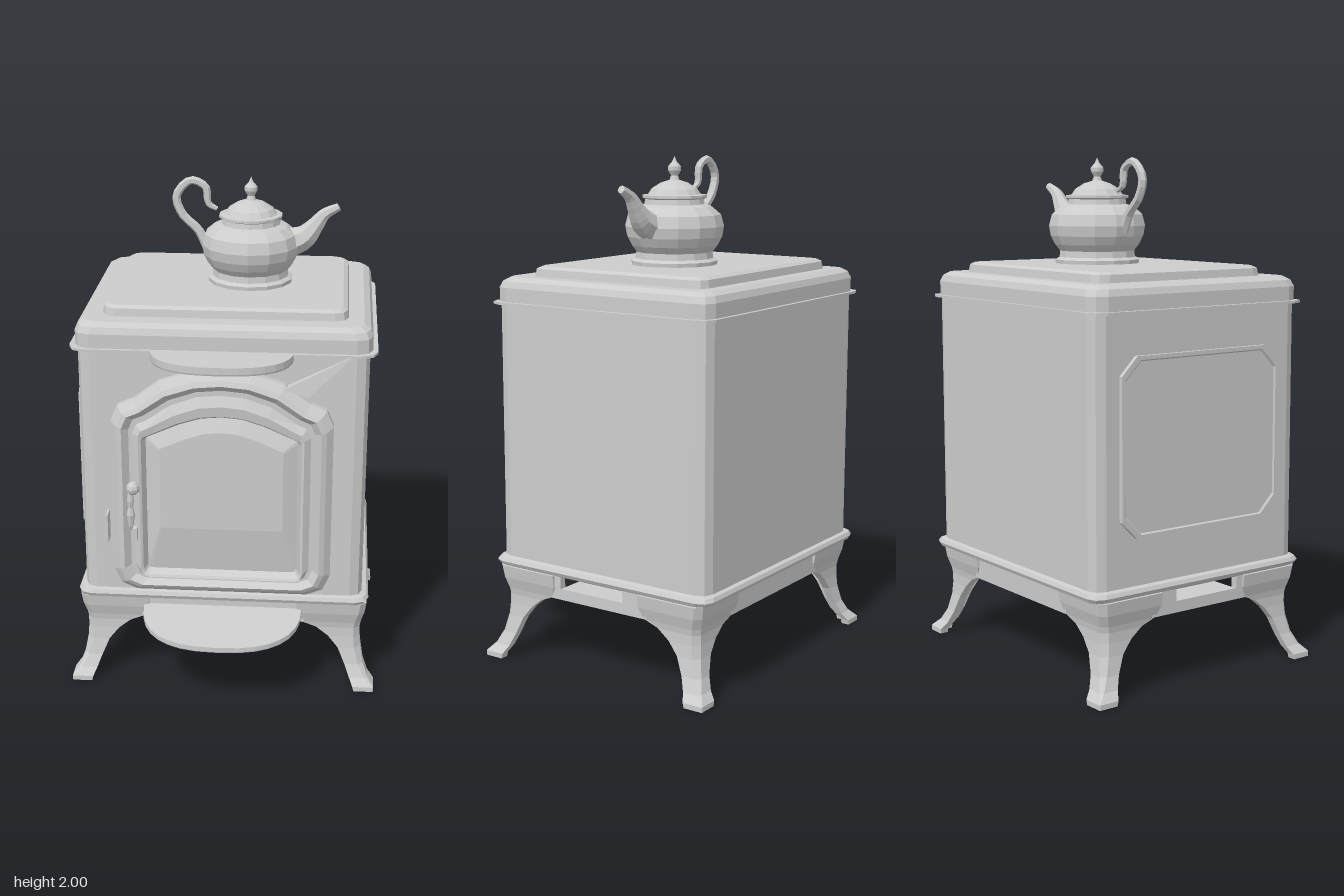
import * as THREE from 'three';

const iron = new THREE.MeshStandardMaterial({ color: 0xcccccc, flatShading: true, side: THREE.DoubleSide });
iron.name = 'grey iron';
const CZ = -0.12; // stove body centre in z

// Skin rings of [x, y, z]; rings run counter-clockwise seen from the end of the loft
function loft(rings, capStart = true, capEnd = true, flip = false) {
  const n = rings[0].length, idx = [];
  const tri = (a, b, c) => (flip ? idx.push(a, c, b) : idx.push(a, b, c));
  for (let i = 0; i < rings.length - 1; i++) {
    for (let j = 0; j < n; j++) {
      const a = i * n + j, b = i * n + (j + 1) % n;
      tri(a, b, b + n);
      tri(a, b + n, a + n);
    }
  }
  const e = (rings.length - 1) * n;
  for (let j = 0; j < n - 2; j++) {
    if (capStart) tri(n - 1, j + 1, j);
    if (capEnd) tri(e + n - 1, e + j, e + j + 1);
  }
  const g = new THREE.BufferGeometry();
  g.setAttribute('position', new THREE.Float32BufferAttribute(rings.flat(2), 3));
  g.setIndex(idx);
  g.computeVertexNormals();
  return g;
}

// Rectangle with cut corners, as 2D points
function cutRect(hx, hy, c, steps = 2) {
  const pts = [];
  for (let k = 0; k < 4; k++) {
    const sx = k === 0 || k === 3 ? 1 : -1, sy = k < 2 ? 1 : -1;
    for (let s = 0; s <= steps; s++) {
      const a = (k + s / steps) * Math.PI / 2;
      pts.push([sx * (hx - c) + c * Math.cos(a), sy * (hy - c) + c * Math.sin(a)]);
    }
  }
  return pts;
}
const flatRing = (y, hx, hz, c, cz = CZ) => cutRect(hx, hz, c).map(([x, v]) => [x, y, cz - v]);

// Tapered round sweep along a path in the xy plane
function sweep(points, radii, z, sides = 7, samples = 14) {
  const curve = new THREE.CatmullRomCurve3(points.map(([x, y]) => new THREE.Vector3(x, y, z)));
  const rings = [];
  for (let i = 0; i <= samples; i++) {
    const t = i / samples, p = curve.getPoint(t), d = curve.getTangent(t);
    const f = t * (radii.length - 1), k = Math.min(Math.floor(f), radii.length - 2);
    const r = THREE.MathUtils.lerp(radii[k], radii[k + 1], f - k);
    rings.push(Array.from({ length: sides }, (_, j) => {
      const a = j / sides * Math.PI * 2, c = r * Math.cos(a);
      return [p.x - d.y * c, p.y + d.x * c, z + r * Math.sin(a)];
    }));
  }
  return loft(rings);
}

// Arched door outline with small shoulders; last point is the bottom centre
function doorRing(z, w, y0, ys, top, c) {
  const half = [[w - c, y0], [w - c * 0.3, y0 + c * 0.3], [w, y0 + c], [w, ys - c], [w - c * 0.3, ys - c * 0.3],
    [w - c, ys], [w * 0.56, ys + (top - ys) * 0.6], [w * 0.27, ys + (top - ys) * 0.92]];
  const left = half.map(([x, y]) => [-x, y]).reverse();
  return [...half, [0, top], ...left, [0, y0]].map(([x, y]) => [x, y, z]);
}

// Half-oval plate projecting to the front, sloping down by `drop` per unit z
function halfOval(w, z0, z1, y, thick, drop) {
  const ring = (yy, s) => Array.from({ length: 17 }, (_, i) => {
    const a = Math.PI * (1 - i / 16), c = Math.cos(a);
    const x = Math.sign(c) * Math.pow(Math.abs(c), 0.8) * w * s;
    const z = z0 + Math.pow(Math.sin(a), 0.8) * (z1 - z0) * s;
    return [x, yy - (z - z0) * drop, z];
  });
  return loft([ring(y, 0.99), ring(y + thick * 0.2, 1), ring(y + thick, 1)]);
}

export function createModel() {
  const model = new THREE.Group();
  const add = (name, geometry, x = 0, y = 0, z = 0, parent = model) => {
    const m = new THREE.Mesh(geometry, iron);
    m.name = name;
    m.position.set(x, y, z);
    parent.add(m);
    return m;
  };
  const box = (name, w, h, d, x, y, z) => add(name, new THREE.BoxGeometry(w, h, d), x, y, z);

  // Firebox walls, base flange and stepped top
  add('firebox', loft([flatRing(0.4, 0.56, 0.49, 0.05), flatRing(1.44, 0.56, 0.49, 0.05)], false, false));
  add('baseFlange', loft([[0.375, 0.56, 0.485], [0.385, 0.58, 0.505], [0.4, 0.588, 0.512], [0.415, 0.58, 0.505],
    [0.42, 0.56, 0.49]].map(([y, x, z]) => flatRing(y, x, z, 0.05)), false, false));
  add('stoveTop', loft([[1.435, 0.56, 0.49, 0.05], [1.435, 0.59, 0.51, 0.06], [1.445, 0.59, 0.51, 0.06],
    [1.445, 0.57, 0.495, 0.06], [1.5, 0.57, 0.495, 0.06], [1.525, 0.56, 0.485, 0.06], [1.54, 0.535, 0.46, 0.05]]
    .map(r => flatRing(...r)), false, true));
  add('raisedTop', loft([[1.535, 0.475, 0.4, 0.05], [1.57, 0.47, 0.395, 0.05], [1.58, 0.452, 0.378, 0.045]]
    .map(r => flatRing(...r, -0.131)), false, true));

  // Raised panel on the right wall
  const panel = add('sidePanel', loft([[0, 0.38, 0.34], [0.018, 0.38, 0.34], [0.018, 0.365, 0.325], [0.012, 0.36, 0.32]]
    .map(([z, w, h]) => cutRect(w, h, 0.07, 1).map(([x, y]) => [x, y, z])), false), -0.558, 0.94, CZ);
  panel.rotation.y = -Math.PI / 2;

  // Cabriole legs: L-shaped sections, [height, outer, inner, corner cut]
  const legRows = [[0, 0.62, 0.54, 0.004], [0.02, 0.62, 0.535, 0.004], [0.05, 0.595, 0.52, 0.012],
    [0.1, 0.575, 0.5, 0.02], [0.17, 0.562, 0.47, 0.025], [0.22, 0.558, 0.43, 0.025], [0.26, 0.558, 0.38, 0.025],
    [0.285, 0.562, 0.32, 0.025], [0.33, 0.575, 0.3, 0.025], [0.38, 0.582, 0.3, 0.025]];
  for (const sx of [-1, 1]) {
    for (const sz of [-1, 1]) {
      const rings = legRows.map(([y, o, i, c]) => {
        const t = 0.035;
        return [[i, o - t], [i, o], [o - c, o], [o, o - c], [o, i], [o - t, i], [o - t, o - t]]
          .map(([u, v]) => [sx * u, y, -0.113 + sz * (v - 0.097)]);
      });
      add('leg', loft(rings, true, true, sx * sz < 0));
    }
  }
  // Aprons between the legs; the side ones have a slot
  for (const s of [-1, 1]) {
    box('endApron', 0.66, 0.09, 0.03, 0, 0.33, -0.113 + s * 0.455);
    box('sideApron', 0.03, 0.045, 0.46, s * 0.55, 0.3075, CZ);
    box('sideApronFront', 0.03, 0.05, 0.15, s * 0.555, 0.355, 0.135);
    box('sideApronBack', 0.03, 0.05, 0.11, s * 0.555, 0.355, -0.295);
  }
  box('ashPlank', 1.08, 0.008, 0.3, 0, 0.326, -0.09);

  // Ash lip below the door and warming shelf above it
  add('ashLip', halfOval(0.32, 0.36, 0.63, 0.323, 0.024, 0.14));
  add('warmingShelf', halfOval(0.275, 0.34, 0.56, 1.412, 0.033, 0));

  // Arched door: moulded frame, then bevelled pane
  add('doorFrame', loft([[0.36, 0.43, 0.435, 1.25, 1.375, 0.09], [0.4, 0.43, 0.435, 1.25, 1.375, 0.09],
    [0.425, 0.405, 0.455, 1.225, 1.345, 0.08], [0.435, 0.385, 0.47, 1.21, 1.325, 0.07],
    [0.41, 0.36, 0.49, 1.19, 1.3, 0.06], [0.41, 0.345, 0.5, 1.17, 1.28, 0.055],
    [0.43, 0.32, 0.505, 1.14, 1.24, 0.03], [0.425, 0.31, 0.515, 1.11, 1.2, 0.02],
    [0.395, 0.295, 0.53, 1.1, 1.185, 0.015], [0.42, 0.24, 0.72, 1.06, 1.13, 0.01]]
    .map(r => doorRing(...r)), false, true));
  const brace = [[0.24, 1.31], [0.33, 1.28], [0.5, 1.44]];
  add('cornerBrace', loft([brace.map(([x, y]) => [x, y, 0.365]),
    brace.map(([x, y], i) => [x, y, i === 2 ? 0.375 : 0.41])]));

  // Door handle and latch
  const handle = new THREE.Group();
  handle.name = 'doorHandle';
  handle.position.set(-0.34, 0, 0.455);
  model.add(handle);
  const stem = add('handleStem', new THREE.CylinderGeometry(0.012, 0.016, 0.06, 7), 0, 0.9, -0.015, handle);
  stem.rotation.x = Math.PI / 2;
  add('handleKnob', new THREE.SphereGeometry(0.027, 8, 6), 0, 0.905, 0.005, handle);
  add('handleGrip', new THREE.LatheGeometry([[0, 0.72], [0.01, 0.74], [0.017, 0.79], [0.01, 0.82], [0.014, 0.85],
    [0.008, 0.9], [0, 0.93]].map(p => new THREE.Vector2(...p)), 7), -0.012, 0, 0, handle);
  box('latchPlate', 0.008, 0.12, 0.06, -0.452, 0.71, 0.4);
  box('latchTab', 0.02, 0.05, 0.03, -0.34, 0.7, 0.435);

  // Teapot body, lid and finial in one turned profile
  const pot = [[0, 1.575], [0.17, 1.575], [0.172, 1.595], [0.155, 1.605], [0.152, 1.63], [0.172, 1.655], [0.19, 1.69],
    [0.197, 1.73], [0.185, 1.775], [0.15, 1.805], [0.12, 1.815], [0.116, 1.835], [0.128, 1.84], [0.128, 1.85],
    [0.105, 1.853], [0.09, 1.875], [0.055, 1.897], [0.02, 1.908], [0.014, 1.925], [0.026, 1.945], [0.026, 1.96],
    [0.01, 1.978], [0, 2]];
  add('teapot', new THREE.LatheGeometry(pot.map(p => new THREE.Vector2(...p)), 14), 0.075, 0, -0.14);
  add('teapotSpout', sweep([[0.23, 1.735], [0.29, 1.76], [0.335, 1.81], [0.37, 1.855], [0.425, 1.885]],
    [0.06, 0.05, 0.034, 0.024, 0.016], -0.138));
  add('teapotHandle', sweep([[-0.1, 1.71], [-0.135, 1.78], [-0.2, 1.845], [-0.222, 1.92], [-0.165, 1.982],
    [-0.105, 1.955], [-0.095, 1.89], [-0.06, 1.868]], [0.02, 0.018, 0.017, 0.016, 0.015, 0.009], -0.138, 6, 22));

  return model;
}
